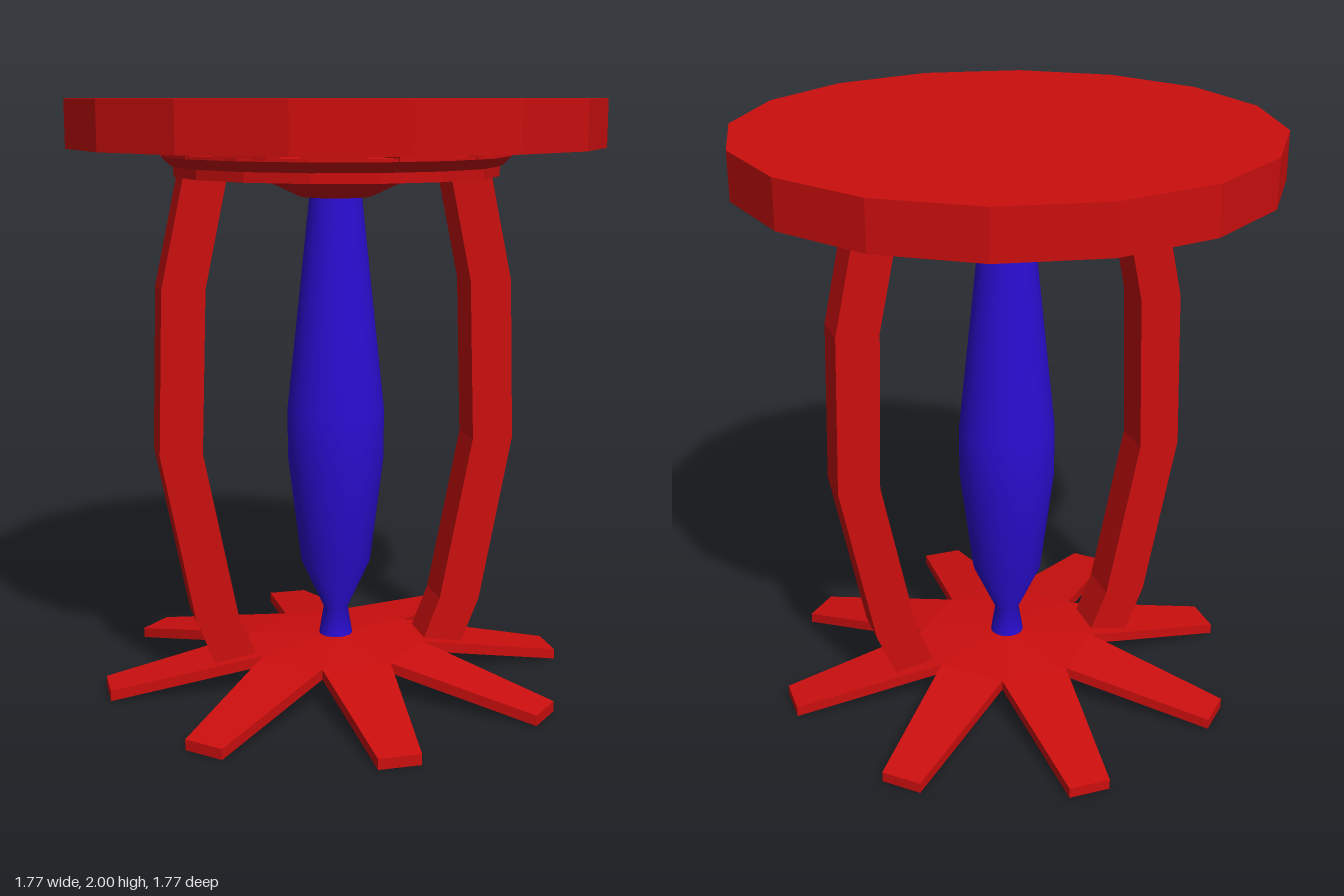
import * as THREE from 'three';

const red = new THREE.MeshStandardMaterial({ color: 0xcc0e0e, flatShading: true });
const blue = new THREE.MeshStandardMaterial({ color: 0x2a0dd0 });

function part(group, name, geometry, material = red) {
  const mesh = new THREE.Mesh(geometry, material);
  mesh.name = name;
  group.add(mesh);
  return mesh;
}

const lathe = (points, sides) =>
  new THREE.LatheGeometry(points.map(([r, y]) => new THREE.Vector2(r, y)), sides);

// One sloping leg of the star base, pointing to +z, with its wedge of the hub
function baseLegGeometry() {
  const a = Math.PI / 8, vx = 0.31 * Math.sin(a), vz = 0.31 * Math.cos(a);
  const thick = 0.036;
  const top = [
    [0, 0.158, 0], [-vx, 0.132, vz], [-0.07, 0.038, 0.8], [0.07, 0.038, 0.8], [vx, 0.132, vz],
  ];
  const bottom = top.map(([x, y, z]) => [x, Math.max(0, y - thick), z]);
  const pos = [];
  const tri = (...p) => p.forEach((v) => pos.push(...v));
  const quad = (p, q, r, s) => { tri(p, q, r); tri(p, r, s); };
  tri(top[0], top[1], top[4]);
  quad(top[1], top[2], top[3], top[4]);
  tri(bottom[0], bottom[4], bottom[1]);
  quad(bottom[4], bottom[3], bottom[2], bottom[1]);
  for (let i = 1; i < 4; i++) quad(bottom[i], bottom[i + 1], top[i + 1], top[i]);
  const g = new THREE.BufferGeometry();
  g.setAttribute('position', new THREE.Float32BufferAttribute(pos, 3));
  g.computeVertexNormals();
  return g;
}

// Bowed side arm, a flat outline given thickness along z
function armGeometry() {
  const outline = [
    [0.30, 0.12], [0.44, 0.10], [0.505, 0.26], [0.617, 0.84], [0.60, 1.39], [0.52, 1.76],
    [0.377, 1.76], [0.455, 1.39], [0.473, 0.84], [0.36, 0.27],
  ];
  const shape = new THREE.Shape(outline.map(([x, y]) => new THREE.Vector2(x, y)));
  const g = new THREE.ExtrudeGeometry(shape, { depth: 0.146, bevelEnabled: false });
  return g.translate(0, 0, -0.073);
}

export function createModel() {
  const model = new THREE.Group();
  model.name = 'pedestal';

  // Round top
  part(model, 'topDisc', new THREE.CylinderGeometry(0.885, 0.885, 0.157, 16)).position.y = 1.9215;

  // Stepped flange under the top
  part(model, 'flange', lathe([
    [0, 1.75], [0.542, 1.75], [0.542, 1.782], [0.555, 1.79], [0.58, 1.815], [0.58, 1.825], [0, 1.825],
  ], 16));

  // Spacer blocks between flange and top
  const spacers = new THREE.Group();
  spacers.name = 'spacers';
  model.add(spacers);
  for (let i = 0; i < 12; i++) {
    const a = (i + 0.5) * Math.PI / 6;
    const block = part(spacers, 'spacerBlock', new THREE.BoxGeometry(0.2, 0.03, 0.09));
    block.position.set(0.525 * Math.sin(a), 1.832, 0.525 * Math.cos(a));
    block.rotation.y = a;
  }

  // Hollow tapered collar around the top of the spindle
  part(model, 'collar', lathe([
    [0.1, 1.751], [0.12, 1.68], [0.24, 1.735], [0.24, 1.751],
  ], 20));

  // Central turned spindle
  part(model, 'spindle', lathe([
    [0.06, 0.11], [0.057, 0.16], [0.042, 0.25], [0.12, 0.42], [0.165, 0.79],
    [0.165, 0.96], [0.122, 1.36], [0.088, 1.68], [0.085, 1.76],
  ], 24), blue);
  const cap = part(model, 'spindleFoot', new THREE.CircleGeometry(0.06, 24), blue);
  cap.rotation.x = Math.PI / 2;
  cap.position.y = 0.11;

  // Two side arms
  const arm = armGeometry();
  part(model, 'leftArm', arm);
  part(model, 'rightArm', arm).rotation.y = Math.PI;

  // Eight-legged star base
  const base = new THREE.Group();
  base.name = 'starBase';
  model.add(base);
  const leg = baseLegGeometry();
  for (let i = 0; i < 8; i++) part(base, 'baseLeg', leg).rotation.y = i * Math.PI / 4;

  return model;
}
